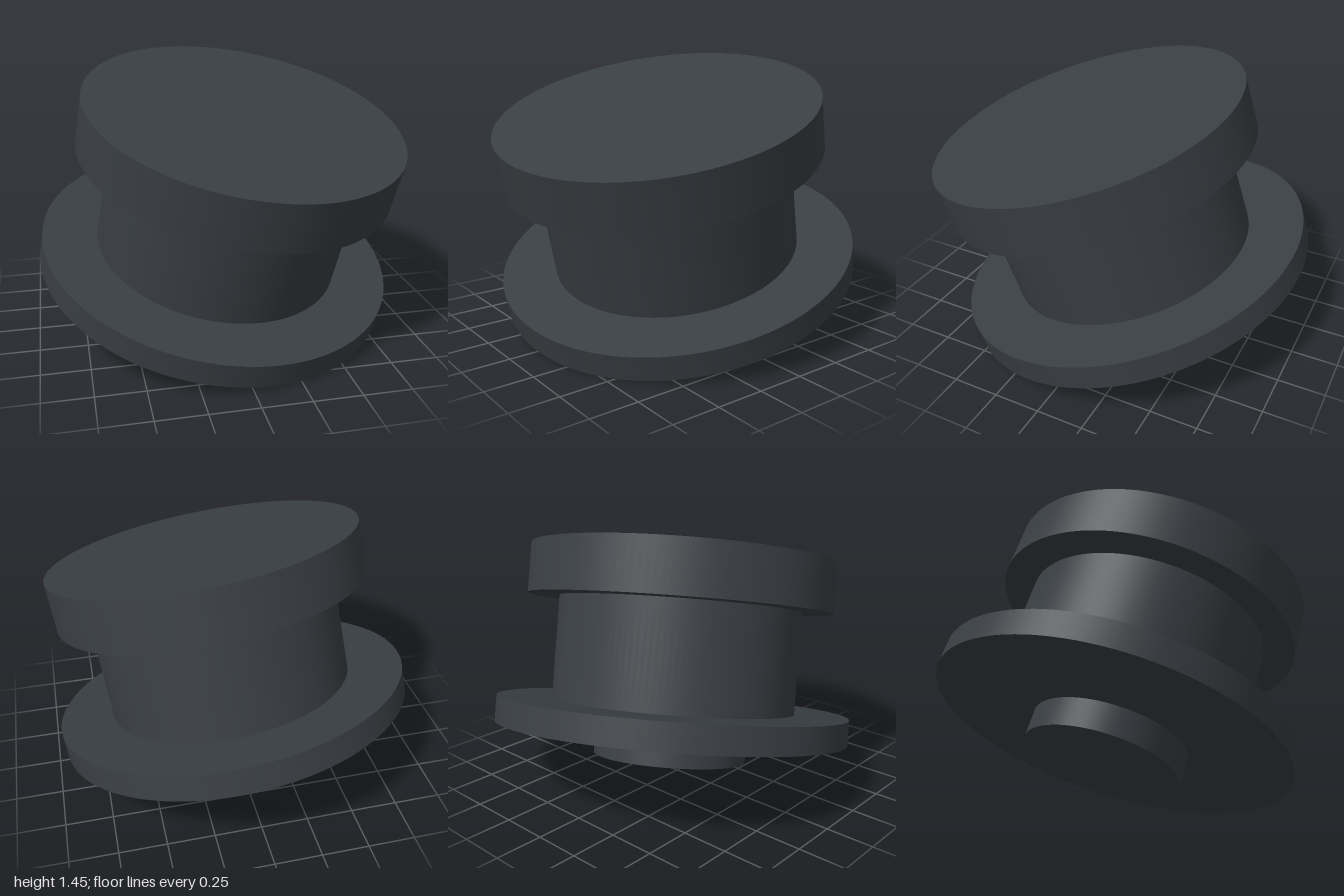
import * as THREE from 'three';

export function createModel() {
  const group = new THREE.Group();
  const material = new THREE.MeshStandardMaterial({ color: 0x3a3f44 });

  // Coaxial discs: name, radius, start and end along the tilted axis
  const discs = [
    ['bottomBoss', 0.422, -0.154, 0],
    ['flange', 0.967, 0, 0.137],
    ['body', 0.672, 0.137, 0.697, true],
    ['cap', 0.842, 0.697, 0.967],
  ];

  const knob = new THREE.Group();
  knob.name = 'tiltedKnob';
  for (const [name, radius, from, to, openEnded = false] of discs) {
    const geometry = new THREE.CylinderGeometry(radius, radius, to - from, 128, 1, openEnded);
    const mesh = new THREE.Mesh(geometry, material);
    mesh.name = name;
    mesh.position.y = (from + to) / 2;
    knob.add(mesh);
  }

  // Lean the shared axis forward and to the left
  const axis = new THREE.Vector3(0.132, 0.957, 0.259).normalize();
  knob.quaternion.setFromUnitVectors(new THREE.Vector3(0, 1, 0), axis);
  knob.position.set(-0.013, 0.28, -0.063);
  group.add(knob);
  return group;
}
